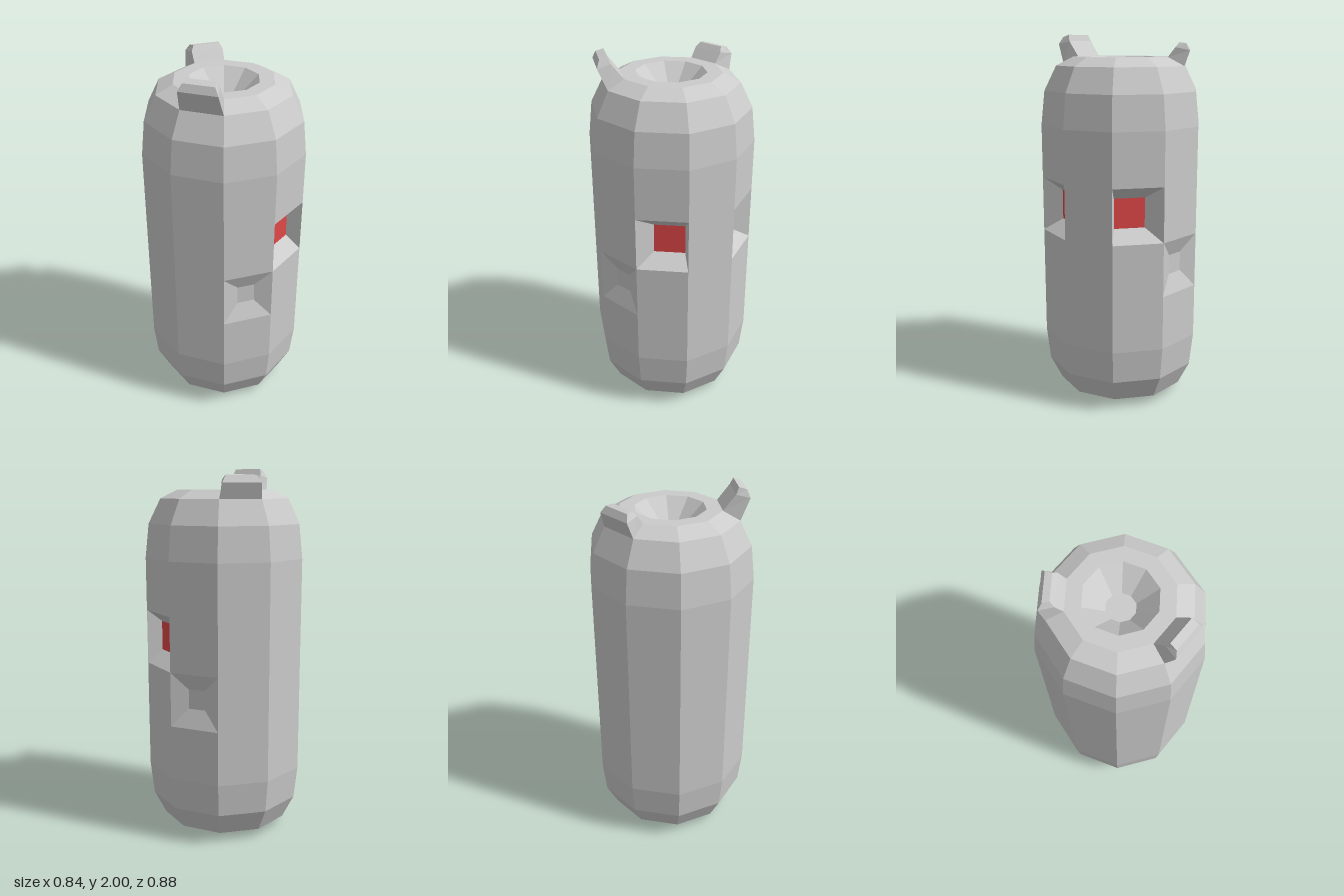
import * as THREE from 'three';

const SIDES = 10, STEP = (Math.PI * 2) / SIDES, R = 0.44;
const Y0 = 0.36, Y1 = 1.53; // straight part of the body

const grey = new THREE.MeshStandardMaterial({ color: 0xcccccc, flatShading: true });
const red = new THREE.MeshStandardMaterial({ color: 0xe04848, flatShading: true });

// Point on the plane facing angle a: m outwards, t sideways, y up
const at = (a, m, t, y) => new THREE.Vector3(
  m * Math.sin(a) + t * Math.cos(a), y, m * Math.cos(a) - t * Math.sin(a));

function quadMesh(name, quads, material) {
  const points = quads.flatMap(([a, b, c, d]) => [a, b, c, a, c, d]);
  const geometry = new THREE.BufferGeometry().setFromPoints(points);
  geometry.computeVertexNormals();
  const mesh = new THREE.Mesh(geometry, material);
  mesh.name = name;
  return mesh;
}

// Side walls between two four-cornered loops
const bridge = (lower, upper) => lower.map((p, i) => {
  const j = (i + 1) % 4;
  return [p, lower[j], upper[j], upper[i]];
});

function latheMesh(name, profile) {
  const points = profile.map(([r, y]) => new THREE.Vector2(r, y));
  const mesh = new THREE.Mesh(new THREE.LatheGeometry(points, SIDES), grey);
  mesh.name = name;
  return mesh;
}

// Ear: loops of [outer m, y, half width, inner m, y, half width]
function ear(name, angle, layers) {
  const loops = layers.map(([mo, yo, wo, mi, yi, wi]) => [
    at(angle, mo, -wo, yo), at(angle, mo, wo, yo),
    at(angle, mi, wi, yi), at(angle, mi, -wi, yi)]);
  const quads = [];
  for (let i = 1; i < loops.length; i++) quads.push(...bridge(loops[i - 1], loops[i]));
  quads.push(loops[loops.length - 1]);
  return quadMesh(name, quads, grey);
}

export function createModel() {
  const group = new THREE.Group();

  // Rounded ends, each with a bowl-shaped hollow
  group.add(latheMesh('bodyBottom', [
    [0, 0.1], [0.1, 0.1], [0.21, 0], [0.265, 0.005], [0.355, 0.05], [0.42, 0.18], [R, Y0]]));
  group.add(latheMesh('bodyTop', [
    [R, Y1], [0.42, 1.71], [0.355, 1.84], [0.265, 1.885], [0.185, 1.885], [0.075, 1.78], [0, 1.78]]));

  // Hollows in the side panels: outer y range, then the floor
  const eye = { y0: 0.95, y1: 1.245, m: 0.34, w: 0.082, f0: 1.02, f1: 1.18 };
  const dent = { y0: 0.655, y1: 0.95, m: 0.383, w: 0.047, f0: 0.755, f1: 0.86, t: 0 };
  const hollows = {
    0: dent, 4: dent,
    1: { ...eye, t: 0.03, eye: 'leftEye' },
    3: { ...eye, t: -0.03, eye: 'rightEye' },
  };

  // Side panels
  const walls = [];
  const apothem = R * Math.cos(STEP / 2), half = R * Math.sin(STEP / 2);
  for (let i = 0; i < SIDES; i++) {
    const a = (i + 0.5) * STEP;
    const rect = (m, t, w, y0, y1) => [
      at(a, m, t - w, y0), at(a, m, t + w, y0), at(a, m, t + w, y1), at(a, m, t - w, y1)];
    const h = hollows[i];
    if (!h) {
      walls.push(rect(apothem, 0, half, Y0, Y1));
      continue;
    }
    const floor = rect(h.m, h.t, h.w, h.f0, h.f1);
    walls.push(rect(apothem, 0, half, Y0, h.y0), rect(apothem, 0, half, h.y1, Y1));
    walls.push(...bridge(rect(apothem, 0, half, h.y0, h.y1), floor));
    if (h.eye) group.add(quadMesh(h.eye, [floor], red));
    else walls.push(floor);
  }
  group.add(quadMesh('bodySides', walls, grey));

  // Ears growing out of the top bevel, the front one taller
  const base = [0.338, 1.84, 0.11, 0.252, 1.885, 0.082];
  group.add(ear('frontEar', -STEP / 2, [base,
    [0.385, 1.95, 0.1, 0.315, 1.965, 0.085],
    [0.37, 1.988, 0.08, 0.33, 2.0, 0.075]]));
  group.add(ear('backEar', Math.PI + STEP / 2, [base,
    [0.365, 1.92, 0.1, 0.29, 1.935, 0.085],
    [0.345, 1.955, 0.08, 0.31, 1.96, 0.07]]));

  return group;
}
